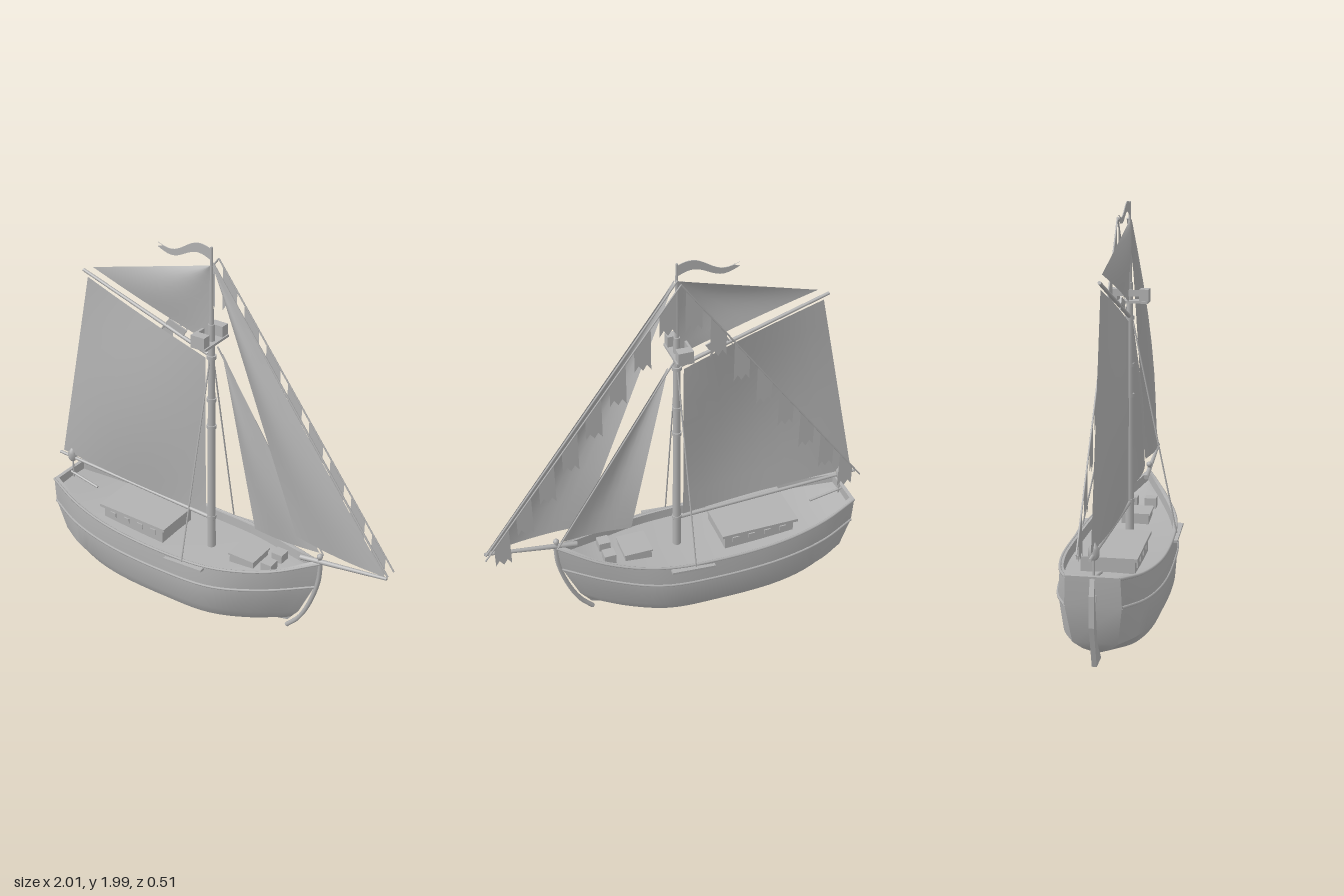
import * as THREE from 'three';
import { toCreasedNormals } from 'three/addons/utils/BufferGeometryUtils.js';

const grey = new THREE.MeshStandardMaterial({ color: 0xb2b2b2, side: THREE.DoubleSide });
grey.name = 'plain grey';
const V = (x, y, z = 0) => new THREE.Vector3(x, y, z);

export function createModel() {
  const ship = new THREE.Group();
  ship.name = 'sailingShip';

  const add = (name, geo, x = 0, y = 0, z = 0) => {
    const m = new THREE.Mesh(geo, grey);
    m.name = name;
    m.position.set(x, y, z);
    ship.add(m);
    return m;
  };
  const box = (name, w, h, d, x, y, z) => add(name, new THREE.BoxGeometry(w, h, d), x, y, z);

  // Round bar between two points
  const rod = (name, a, b, r0, r1 = r0, sides = 8) => {
    const dir = b.clone().sub(a);
    const m = add(name, new THREE.CylinderGeometry(r1, r0, dir.length(), sides));
    m.position.copy(a).addScaledVector(dir, 0.5);
    m.quaternion.setFromUnitVectors(V(0, 1), dir.normalize());
    return m;
  };
  const tube = (name, pts, r) =>
    add(name, new THREE.TubeGeometry(new THREE.CatmullRomCurve3(pts), 32, r, 6));

  // Flat shape in the side plane, optionally with thickness
  const plate = (name, pts, z, t = 0) => {
    const s = new THREE.Shape(pts.map(p => new THREE.Vector2(p[0], p[1])));
    const geo = t ? new THREE.ExtrudeGeometry(s, { depth: t, bevelEnabled: false }) : new THREE.ShapeGeometry(s);
    return add(name, geo, 0, 0, z - t / 2);
  };

  // Hull lines, stern to bow, from keel up to sheer
  const lines = [
    [[-.84, .07, 0], [-.7, .025, 0], [-.5, .005, 0], [-.15, 0, 0], [.1, 0, 0], [.25, .015, 0], [.47, .07, 0]],
    [[-.87, .1, .06], [-.72, .075, .14], [-.5, .065, .19], [-.15, .065, .2], [.1, .065, .18], [.3, .07, .1], [.49, .1, .004]],
    [[-.9, .14, .1], [-.75, .13, .17], [-.5, .13, .22], [-.15, .13, .235], [.12, .13, .21], [.33, .13, .12], [.53, .15, .004]],
    [[-.94, .325, .125], [-.75, .295, .195], [-.5, .275, .237], [-.15, .265, .242], [.15, .275, .22], [.4, .305, .125], [.615, .345, .005]],
    [[-.95, .46, .12], [-.75, .42, .185], [-.5, .395, .229], [-.15, .382, .236], [.15, .392, .213], [.42, .43, .125], [.64, .5, .005]],
  ].map(l => l.map(p => V(...p)));
  const sheer = lines[4];
  const inset = (dz, dy) => sheer.map((p, i) =>
    V(p.x + (i === 0 ? .02 : i === 6 ? -.03 : 0), p.y - dy, Math.max(p.z - dz, .002)));
  const deckEdge = inset(.02, .05);
  const rows = [...lines, inset(.017, 0), deckEdge, deckEdge.map(p => V(p.x, p.y + .005, 0))];

  // Loft hull, bulwark and deck, both sides
  const N = 28, pos = [], idx = [], R = rows.length;
  for (const side of [1, -1]) {
    for (const row of rows) {
      const c = new THREE.CatmullRomCurve3(row);
      for (let i = 0; i <= N; i++) {
        const p = c.getPoint(i / N);
        pos.push(p.x, p.y, p.z * side);
      }
    }
  }
  const id = (s, j, i) => s * R * (N + 1) + j * (N + 1) + i;
  const quad = (a, b, c, d) => idx.push(a, b, c, a, c, d);
  for (let j = 0; j < R - 1; j++) {
    for (let i = 0; i < N; i++) {
      quad(id(0, j, i), id(0, j, i + 1), id(0, j + 1, i + 1), id(0, j + 1, i));
      quad(id(1, j, i), id(1, j + 1, i), id(1, j + 1, i + 1), id(1, j, i + 1));
    }
    // Transom, its cap and its inner face
    if (j < 6) quad(id(1, j, 0), id(0, j, 0), id(0, j + 1, 0), id(1, j + 1, 0));
  }
  const hull = new THREE.BufferGeometry();
  hull.setAttribute('position', new THREE.Float32BufferAttribute(pos, 3));
  hull.setIndex(idx);
  add('hull', toCreasedNormals(hull, 0.45));

  // Rubbing strakes, rails, shrouds and their chain plates
  for (const s of [1, -1]) {
    const flip = (p, dy = 0) => V(p.x, p.y + dy, p.z * s);
    tube('rubbingStrake', lines[3].map(p => flip(p)), .007);
    tube('rail', sheer.map(p => flip(p, -.004)), .007);
    const ch = box('chainPlate', .23, .012, .03, -.005, .365, s * .24);
    ch.rotation.z = .08;
    rod('shroud', V(-.02, .36, s * .24), V(0, 1.43, s * .012), .004);
  }

  // Stem, rudder, tiller
  tube('stem', [V(.64, .5), V(.632, .38), V(.585, .22), V(.53, .11), V(.465, .035)], .012);
  plate('rudder', [[-.95, .45], [-.975, .38], [-.98, .24], [-.92, .04], [-.82, .04], [-.88, .12], [-.93, .4]], 0, .022);
  rod('tiller', V(-.95, .45), V(-.75, .41), .007);
  box('rudderHinge', .03, .03, .035, -.93, .36, 0);

  // Cabin with windows
  box('cabin', .38, .1, .25, -.41, .37, 0);
  box('cabinRoof', .42, .016, .28, -.41, .424, 0);
  for (const s of [1, -1])
    for (let i = 0; i < 4; i++) box('window', .035, .03, .008, -.54 + i * .087, .385, s * .127);

  // Deck hatch and crates
  box('hatch', .14, .06, .14, .23, .365, 0);
  box('hatchLid', .15, .01, .155, .23, .397, 0);
  for (const z of [-.05, .05]) box('crate', .06, .055, .06, .38, .4, z);

  // Mast, bands and lookout
  rod('mast', V(0, .33), V(0, 1.6), .022, .016, 12);
  rod('topmast', V(0, 1.55), V(0, 1.98), .012, .006);
  for (const y of [.52, 1.05, 1.2, 1.43]) add('mastBand', new THREE.CylinderGeometry(.024, .024, .018, 12), 0, y);
  box('lookoutPlatform', .085, .012, .19, -.01, 1.51, 0);
  for (const s of [1, -1]) box('lookoutBox', .075, .055, .045, -.012, 1.543, s * .075);
  box('lookoutRail', .012, .03, .11, -.045, 1.553, 0);

  // Spars
  rod('boom', V(.02, .51), V(-1, .55), .011, .008);
  rod('gaff', V(-.02, 1.44), V(-.76, 1.682), .01, .008);
  rod('bowsprit', V(.53, .49), V(.995, .56), .014, .008);
  plate('gaffBracket', [[-.28, 1.5], [-.24, 1.56], [-.14, 1.525], [-.16, 1.495], [-.25, 1.53]], 0, .008);

  // Sails: blend four corners and belly the middle
  const sail = (name, a, b, c, d, belly, z0 = 0) => {
    const g = new THREE.PlaneGeometry(1, 1, 8, 8), p = g.attributes.position;
    for (let i = 0; i < p.count; i++) {
      const u = p.getX(i) + .5, v = p.getY(i) + .5;
      const mix = k => (a[k] * (1 - u) + b[k] * u) * (1 - v) + (d[k] * (1 - u) + c[k] * u) * v;
      p.setXYZ(i, mix(0), mix(1), z0 + belly * Math.sin(Math.PI * u) * Math.sin(Math.PI * (.1 + .85 * v)));
    }
    g.computeVertexNormals();
    add(name, g);
  };
  sail('mainsail', [-.975, .57], [-.035, .525], [-.035, 1.415], [-.735, 1.65], .05);
  sail('topsail', [-.7, 1.71], [-.01, 1.5], [-.005, 1.89], [-.006, 1.89], .03);
  sail('jib', [.5, .6], [.985, .565], [.012, 1.895], [.01, 1.895], .05);
  sail('staysail', [.25, .53], [.62, .54], [.052, 1.45], [.05, 1.45], .045, -.02);

  // Stays
  rod('forestay', V(0, 1.9, -.01), V(.99, .56, -.015), .005);
  rod('innerStay', V(.02, 1.48, -.02), V(.635, .52, -.035), .004);

  // Signal lines with hanging swallowtail flags
  for (const s of [1, -1]) {
    const lineY = x => 1.9 - 1.335 * Math.abs(x);
    rod('signalLine', V(0, 1.905, -.058), V(s, .567, -.058), .004);
    for (let i = 0; i < 8; i++) {
      const x0 = .022 + i * .1215, x1 = x0 + .08, yb = lineY(x1) - .11;
      plate('signalFlag', [[x0, lineY(x0)], [x1, lineY(x1)], [x1, yb], [x1 - .02, yb + .03],
        [(x0 + x1) / 2, yb], [x0 + .02, yb + .03], [x0, yb]].map(p => [s * p[0], p[1]]), -.058);
    }
  }

  // Wavy streamer at the masthead
  const up = [], low = [];
  for (let i = 0; i <= 16; i++) {
    const t = i / 16, y = 1.945 - .025 * t + .022 * Math.sin(t * 6.6 - .1), h = .027 - .017 * t;
    up.push([-.3 * t, y + h]);
    low.unshift([-.3 * t, y - h]);
  }
  plate('streamer', [...up, [-.27, 1.925], ...low], 0, .004);

  // Stern lantern and bow lamp
  rod('lanternPost', V(-.915, .42), V(-.915, .53), .005);
  const lantern = [[0, .52], [.014, .525], [.024, .54], [.024, .575], [.014, .588], [.008, .6], [0, .6]];
  add('sternLantern', new THREE.LatheGeometry(lantern.map(p => new THREE.Vector2(...p)), 8), -.915);
  rod('bowPost', V(.635, .49), V(.635, .53), .01);
  add('bowLamp', new THREE.SphereGeometry(.016, 8, 6), .635, .535);

  return ship;
}
